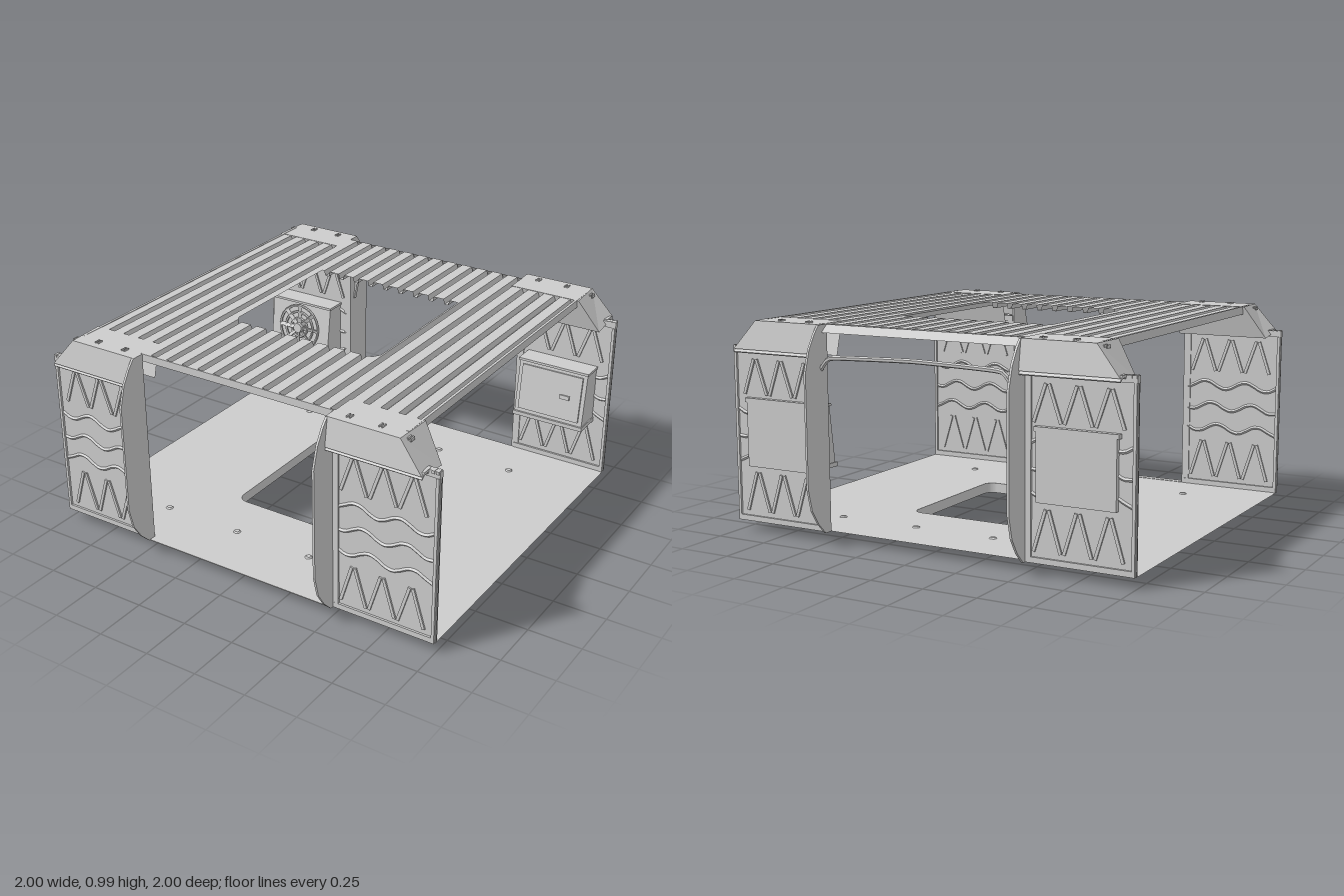
import * as THREE from 'three';

const mat = new THREE.MeshStandardMaterial({ color: 0xcccccc, flatShading: true, side: THREE.DoubleSide });

function add(parent, name, geo, x = 0, y = 0, z = 0) {
  const m = new THREE.Mesh(geo, mat);
  m.name = name;
  m.position.set(x, y, z);
  parent.add(m);
  return m;
}
const box = (w, h, d) => new THREE.BoxGeometry(w, h, d);

// Four-cornered faces, each a list of [x, y, z] corners
function quads(list) {
  const pos = list.flatMap(([a, b, c, d]) => [a, b, c, a, c, d].flat());
  const g = new THREE.BufferGeometry();
  g.setAttribute('position', new THREE.Float32BufferAttribute(pos, 3));
  g.computeVertexNormals();
  return g;
}

// Side outline of [z, y] points, extruded along x from x0 to x1
function sideExtrude(pts, x0, x1) {
  const s = new THREE.Shape(pts.map(p => new THREE.Vector2(p[0], p[1])));
  return new THREE.ExtrudeGeometry(s, { depth: x1 - x0, bevelEnabled: false })
    .rotateY(-Math.PI / 2).translate(x1, 0, 0);
}

// Rounded rectangle outline
function roundRect(path, w, h, r) {
  path.moveTo(-w + r, -h).lineTo(w - r, -h).absarc(w - r, -h + r, r, -Math.PI / 2, 0)
    .lineTo(w, h - r).absarc(w - r, h - r, r, 0, Math.PI / 2)
    .lineTo(-w + r, h).absarc(-w + r, h - r, r, Math.PI / 2, Math.PI)
    .lineTo(-w, -h + r).absarc(-w + r, -h + r, r, Math.PI, Math.PI * 1.5);
  return path;
}

// Flat floor with a hatch opening, lip below it and a front sill
function buildFloor() {
  const g = new THREE.Group();
  g.name = 'floor';
  const s = new THREE.Shape();
  s.moveTo(-1, -0.84).lineTo(1, -0.84).lineTo(1, 0.84).lineTo(-1, 0.84);
  s.holes.push(roundRect(new THREE.Path(), 0.375, 0.358, 0.05));
  add(g, 'floorSheet', new THREE.ShapeGeometry(s, 6).rotateX(-Math.PI / 2), 0, 0.05, 0);
  const rim = roundRect(new THREE.Path(), 0.375, 0.358, 0.05).getPoints(6);
  add(g, 'hatchLip', quads(rim.map((p, i) => {
    const q = rim[(i + 1) % rim.length];
    return [[p.x, 0, p.y], [q.x, 0, q.y], [q.x, 0.05, q.y], [p.x, 0.05, p.y]];
  })));
  add(g, 'frontSill', box(1, 0.004, 0.035), 0, 0.05, 0.857);
  for (const x of [-0.6, -0.2, 0.2, 0.6]) for (const z of [-0.6, 0.6])
    add(g, 'floorStud', new THREE.CylinderGeometry(0.012, 0.018, 0.006, 8), x, 0.053, z);
  return g;
}

// Corrugated roof sheet, ribs along z, with a hatch opening
function buildRoof() {
  const g = new THREE.Group();
  g.name = 'roof';
  const n = 20, pitch = 1.68 / n, top = 0.98, low = 0.955;
  const profile = [];
  for (let i = 0; i < n; i++) {
    const x = -0.84 + i * pitch;
    profile.push([x, top], [x + 0.052, top], [x + 0.058, low], [x + 0.078, low]);
  }
  profile.push([0.84, top]);
  const yAt = x => {
    const k = profile.findIndex(p => p[0] >= x), a = profile[k - 1], b = profile[k];
    return a[1] + (b[1] - a[1]) * (x - a[0]) / (b[0] - a[0]);
  };
  const hx = 0.38, r = 0.05;
  for (const x of [0.379, 0.36, 0.345]) for (const s of [-1, 1]) profile.push([s * x, yAt(s * x)]);
  for (const s of [-1, 1]) profile.push([s * hx, yAt(s * hx)]);
  profile.sort((a, b) => a[0] - b[0]);
  const frontEdge = x => {
    const d = Math.max(0, Math.abs(x) - (hx - r));
    return 0.33 - r + Math.sqrt(Math.max(0, r * r - d * d));
  };
  const faces = [];
  const strip = (a, b, za0, zb0, za1, zb1) => faces.push(
    [[a[0], a[1], za0], [a[0], a[1], za1], [b[0], b[1], zb1], [b[0], b[1], zb0]]);
  for (let i = 0; i < profile.length - 1; i++) {
    const a = profile[i], b = profile[i + 1];
    if (Math.abs(a[0] + b[0]) / 2 > hx) strip(a, b, -0.84, -0.84, 0.835, 0.835);
    else {
      strip(a, b, -0.84, -0.84, -0.4, -0.4);
      strip(a, b, frontEdge(a[0]), frontEdge(b[0]), 0.835, 0.835);
    }
  }
  add(g, 'corrugatedSheet', quads(faces));
  for (const s of [-1, 1]) add(g, 'sideRail', box(0.012, 0.038, 1.67), s * 0.836, 0.964, 0);
  add(g, 'frontLintel', box(1, 0.035, 0.008), 0, 0.963, 0.836);
  add(g, 'backLintel', quads([[[-0.5, 0.978, -0.84], [0.5, 0.978, -0.84], [0.5, 0.945, -0.88], [-0.5, 0.945, -0.88]]]));
  return g;
}

// One corner: wall panel, door fin and roof cap, drawn at +x +z
function buildCorner(isBack) {
  const g = new THREE.Group();
  add(g, 'wallPanel', box(0.5, 0.78, 0.01), 0.75, 0.44, 0.85);
  add(g, 'panelEdge', box(0.014, 0.78, 0.03), 0.99, 0.44, 0.85);
  add(g, 'panelFoot', box(0.49, 0.025, 0.03), 0.75, 0.063, 0.85);
  add(g, 'panelHead', box(0.5, 0.03, 0.026), 0.75, 0.845, 0.85);
  add(g, 'panelLedge', sideExtrude([[0.85, 0.862], [0.9, 0.862], [0.92, 0.84], [0.915, 0.835], [0.895, 0.85], [0.85, 0.85]], 0.5, 0.95));

  // Diagonal pressed ribs at top and bottom of the panel
  const zig = (y0, y1) => {
    for (let i = 0; i < 6; i++) {
      const xa = 0.54 + i * 0.07, dx = 0.055, dy = (i % 2 ? -1 : 1) * (y1 - y0);
      const m = add(g, 'diagonalRib', box(Math.hypot(dx, dy), 0.014, 0.026), xa + dx / 2, (y0 + y1) / 2, 0.85);
      m.rotation.z = Math.atan2(dy, dx);
    }
  };
  zig(0.64, 0.8);
  zig(0.1, 0.28);
  // Wavy ribs across the middle
  for (const y of [0.35, 0.46, 0.57]) {
    const pts = [];
    for (let i = 0; i <= 12; i++)
      pts.push(new THREE.Vector3(0.52 + i * 0.0385, y + 0.02 * Math.sin(i * 1.15 + y * 9), 0.85));
    add(g, 'waveRib', new THREE.TubeGeometry(new THREE.CatmullRomCurve3(pts), 30, 0.013, 4));
  }

  // Curved fin beside the doorway
  add(g, 'doorFin', sideExtrude([[0.84, 0.05], [0.88, 0.05], [0.93, 0.1], [0.975, 0.17], [1, 0.27],
    [1, 0.78], [0.97, 0.88], [0.93, 0.945], [0.9, 0.98], [0.84, 0.98]], 0.494, 0.504));
  add(g, 'doorJamb', box(0.03, 0.78, 0.025), 0.515, 0.45, 0.852);

  // Sloping roof cap
  const A = [0.5, 0.982, 0.72], B = [0.85, 0.982, 0.72], C = [0.84, 0.982, 0.9], D = [0.5, 0.982, 0.9];
  const E = [0.5, 0.83, 0.76], F = [0.95, 0.83, 0.76], G = [0.95, 0.852, 0.92], H = [0.5, 0.852, 0.92];
  add(g, 'roofCap', quads([[A, D, C, B], [D, H, G, C], [C, G, F, B], [A, B, F, E]]));
  for (const x of [0.58, 0.73, 0.86]) for (const d of [-0.007, 0.007])
    add(g, 'capClip', box(0.006, 0.014, 0.028), x + d, x > 0.84 ? 0.965 : 0.982, 0.852);
  for (const d of [0.97, 0.99]) add(g, 'edgeClip', box(0.012, 0.014, 0.03), d, 0.855, 0.852);

  // Plate on the outside of the back panels
  if (isBack) {
    add(g, 'backPlate', box(0.36, 0.3, 0.03), 0.74, 0.46, 0.863);
    add(g, 'backPlateHood', box(0.38, 0.02, 0.03), 0.74, 0.615, 0.865);
  }
  return g;
}

// Tapered machine housing on the inside of a back panel
function buildUnit(x, withFan) {
  const g = new THREE.Group();
  g.name = withFan ? 'fanUnit' : 'cabinetUnit';
  g.position.x = x;
  add(g, 'housing', sideExtrude([[-0.85, 0.32], [-0.71, 0.335], [-0.745, 0.6], [-0.85, 0.61]], -0.18, 0.18));
  add(g, 'housingBase', box(0.37, 0.02, 0.15), 0, 0.325, -0.775);
  add(g, 'housingTop', box(0.37, 0.012, 0.11), 0, 0.604, -0.792);
  const face = new THREE.Group();
  face.name = 'unitFace';
  face.position.set(0, 0.468, -0.724);
  face.rotation.x = -0.13;
  g.add(face);
  if (withFan) {
    for (const r of [0.05, 0.085, 0.12])
      add(face, 'fanRing', new THREE.TorusGeometry(r, 0.007, 5, 24), 0, 0, 0.01);
    add(face, 'fanHub', new THREE.CylinderGeometry(0.025, 0.03, 0.03, 12).rotateX(Math.PI / 2), 0, 0, 0.015);
    for (let i = 0; i < 8; i++) {
      const a = i * Math.PI / 4;
      const m = add(face, 'fanBlade', box(0.1, 0.02, 0.005), 0.07 * Math.cos(a), 0.07 * Math.sin(a), 0.012);
      m.rotation.set(0.5, 0, a, 'ZXY');
    }
  } else {
    add(face, 'cabinetDoor', box(0.32, 0.23, 0.012));
    add(face, 'cabinetLatch', box(0.05, 0.02, 0.02), 0.08, 0, 0.006);
  }
  return g;
}

export function createModel() {
  const model = new THREE.Group();
  model.name = 'shelter';
  model.add(buildFloor(), buildRoof());
  for (const sx of [-1, 1]) for (const sz of [-1, 1]) {
    const c = buildCorner(sz < 0);
    c.name = (sz > 0 ? 'front' : 'back') + (sx > 0 ? 'Left' : 'Right') + 'Corner';
    c.scale.set(sx, 1, sz);
    model.add(c);
  }
  model.add(buildUnit(0.74, false), buildUnit(-0.74, true));

  // Pipe across the back doorway
  const path = new THREE.CatmullRomCurve3([[-0.495, 0.64, -0.88], [-0.485, 0.74, -0.9], [-0.45, 0.82, -0.915],
    [-0.4, 0.845, -0.915], [0, 0.855, -0.91], [0.38, 0.845, -0.915], [0.44, 0.835, -0.91], [0.5, 0.785, -0.88]]
    .map(p => new THREE.Vector3(...p)), false, 'catmullrom', 0.3);
  add(model, 'backPipe', new THREE.TubeGeometry(path, 48, 0.011, 6));
  return model;
}
